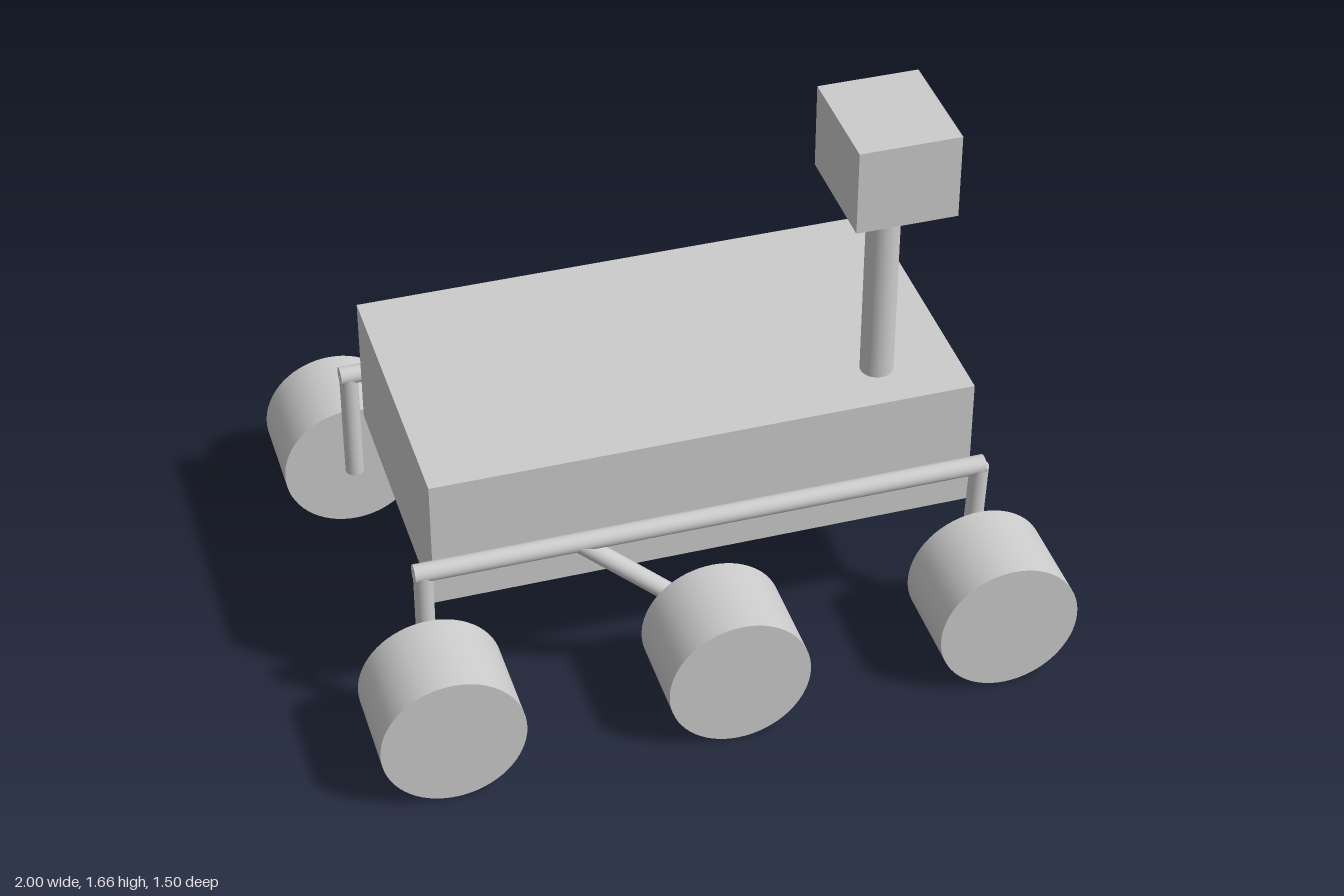
import * as THREE from 'three';

const grey = new THREE.MeshStandardMaterial({ color: 0xcccccc, side: THREE.DoubleSide });
grey.name = 'plain grey';

const WHEEL_R = 0.203, WHEEL_W = 0.27, ROD_R = 0.027;

function add(parent, name, geometry, x = 0, y = 0, z = 0) {
  const mesh = new THREE.Mesh(geometry, grey);
  mesh.name = name;
  mesh.position.set(x, y, z);
  parent.add(mesh);
  return mesh;
}

// Round bar between two points
function bar(parent, name, a, b, radius) {
  const from = new THREE.Vector3(...a), to = new THREE.Vector3(...b);
  const dir = to.clone().sub(from);
  const mesh = add(parent, name, new THREE.CylinderGeometry(radius, radius, dir.length(), 32));
  mesh.position.copy(from).add(to).multiplyScalar(0.5);
  mesh.quaternion.setFromUnitVectors(new THREE.Vector3(0, 1, 0), dir.normalize());
}

// Drum wheel: caps lists the closed ends, +1 towards +z and -1 towards -z
function wheel(parent, name, x, z, caps) {
  const group = new THREE.Group();
  group.name = name;
  group.position.set(x, WHEEL_R, z);
  const tread = new THREE.CylinderGeometry(WHEEL_R, WHEEL_R, WHEEL_W, 64, 1, true);
  add(group, 'tread', tread.rotateX(Math.PI / 2));
  for (const end of caps) {
    const disc = add(group, 'wheelDisc', new THREE.CircleGeometry(WHEEL_R, 64), 0, 0, end * WHEEL_W / 2);
    if (end < 0) disc.rotation.y = Math.PI;
  }
  parent.add(group);
}

export function createModel() {
  const model = new THREE.Group();
  model.name = 'rover';

  // Body, mast and camera head
  add(model, 'body', new THREE.BoxGeometry(1.545, 0.4, 0.856), 0.008, 0.62, 0);
  bar(model, 'mast', [0.55, 0.82, 0.27], [0.55, 1.415, 0.27], 0.047);
  add(model, 'cameraHead', new THREE.BoxGeometry(0.285, 0.25, 0.338), 0.553, 1.54, 0.269);

  // Suspension, the same on both sides
  for (const s of [1, -1]) {
    const side = new THREE.Group();
    side.name = s > 0 ? 'frontSuspension' : 'backSuspension';
    const z = s * 0.454;
    bar(side, 'sideRail', [-0.823, 0.558, z], [0.812, 0.558, z], ROD_R);
    bar(side, 'legAtLowX', [-0.797, 0.555, z], [-0.797, 0.205, z], ROD_R);
    bar(side, 'legAtHighX', [0.8, 0.555, z], [0.787, 0.205, z], ROD_R);
    bar(side, 'slantedLeg', [-0.36, 0.555, z], [0.01, 0.205, z], ROD_R);
    model.add(side);
  }

  // Wheels: most are open drums, two on a diagonal are closed
  const zw = 0.615;
  wheel(model, 'frontWheelLeft', 0.797, zw, [1, -1]);
  wheel(model, 'frontWheelMiddle', 0.01, zw, [1]);
  wheel(model, 'frontWheelRight', -0.797, zw, [1]);
  wheel(model, 'backWheelLeft', 0.797, -zw, [1]);
  wheel(model, 'backWheelMiddle', 0.01, -zw, [1]);
  wheel(model, 'backWheelRight', -0.797, -zw, [1, -1]);

  return model;
}
